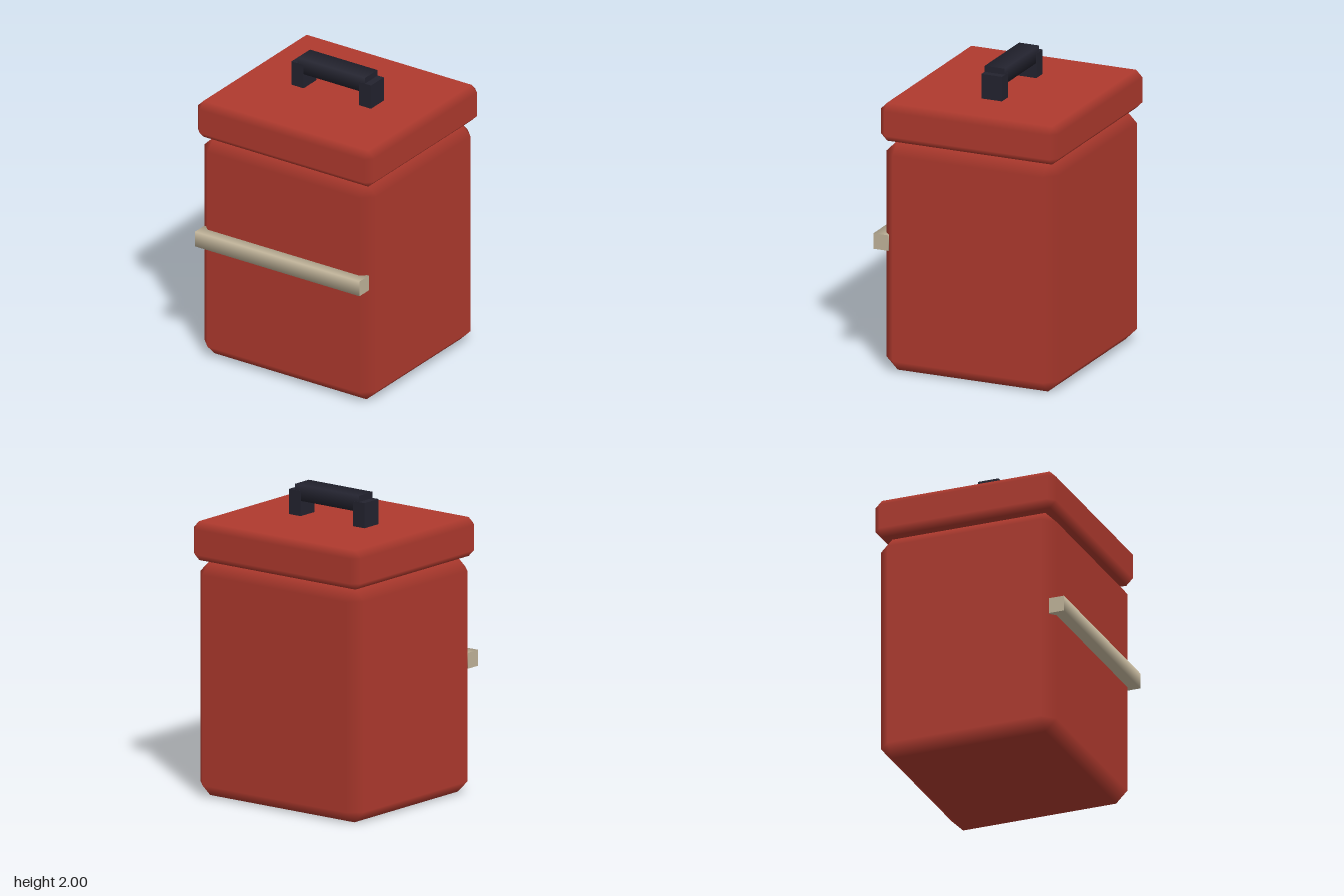
import * as THREE from 'three';
import { ConvexGeometry } from 'three/addons/geometries/ConvexGeometry.js';

const mat = (name, color) => {
  const m = new THREE.MeshStandardMaterial({ color });
  m.name = name;
  return m;
};

// Box with one chamfer on every edge, shaded smoothly across the chamfers.
function chamferBox(w, h, d, c) {
  const half = [w / 2, h / 2, d / 2];
  const points = [];
  for (let axis = 0; axis < 3; axis++)
    for (const sx of [-1, 1]) for (const sy of [-1, 1]) for (const sz of [-1, 1]) {
      const p = [sx, sy, sz].map((s, i) => s * (i === axis ? half[i] : half[i] - c));
      points.push(new THREE.Vector3(...p));
    }
  const geo = new ConvexGeometry(points);
  const pos = geo.attributes.position;
  const normal = geo.attributes.normal;
  // each corner point keeps the normal of the flat face it belongs to
  for (let i = 0; i < pos.count; i++) {
    const p = [pos.getX(i), pos.getY(i), pos.getZ(i)];
    const n = p.map((v, k) => (Math.abs(Math.abs(v) - half[k]) < 1e-4 ? Math.sign(v) : 0));
    normal.setXYZ(i, ...n);
  }
  return geo;
}

// Four-sided bar along x with soft shading around its length.
function softBar(length, h, d) {
  const geo = new THREE.CylinderGeometry(Math.SQRT1_2, Math.SQRT1_2, length, 4);
  geo.rotateY(Math.PI / 4);
  geo.rotateZ(Math.PI / 2);
  geo.scale(1, h, d);
  return geo;
}

export function createModel() {
  const group = new THREE.Group();
  const red = mat('red', 0xb03a2e);
  const beige = mat('beige', 0xc2b59b);
  const dark = mat('darkHandle', 0x23232f);

  const add = (name, geo, material, x, y, z) => {
    const mesh = new THREE.Mesh(geo, material);
    mesh.name = name;
    mesh.position.set(x, y, z);
    group.add(mesh);
  };

  // Container and lid
  add('body', chamferBox(1.33, 1.535, 1.21, 0.078), red, 0, 0.7675, -0.027);
  add('lid', chamferBox(1.36, 0.255, 1.245, 0.045), red, 0, 1.668, -0.027);

  // Strip across the front
  add('frontBar', softBar(1.27, 0.104, 0.104), beige, 0, 0.855, 0.596);

  // Carrying handle
  add('handleGrip', softBar(0.52, 0.105, 0.14), dark, 0, 1.9475, -0.028);
  for (const s of [-1, 1])
    add(s > 0 ? 'leftHandlePost' : 'rightHandlePost',
      new THREE.BoxGeometry(0.094, 0.18, 0.144), dark, s * 0.26, 1.87, -0.029);

  return group;
}
